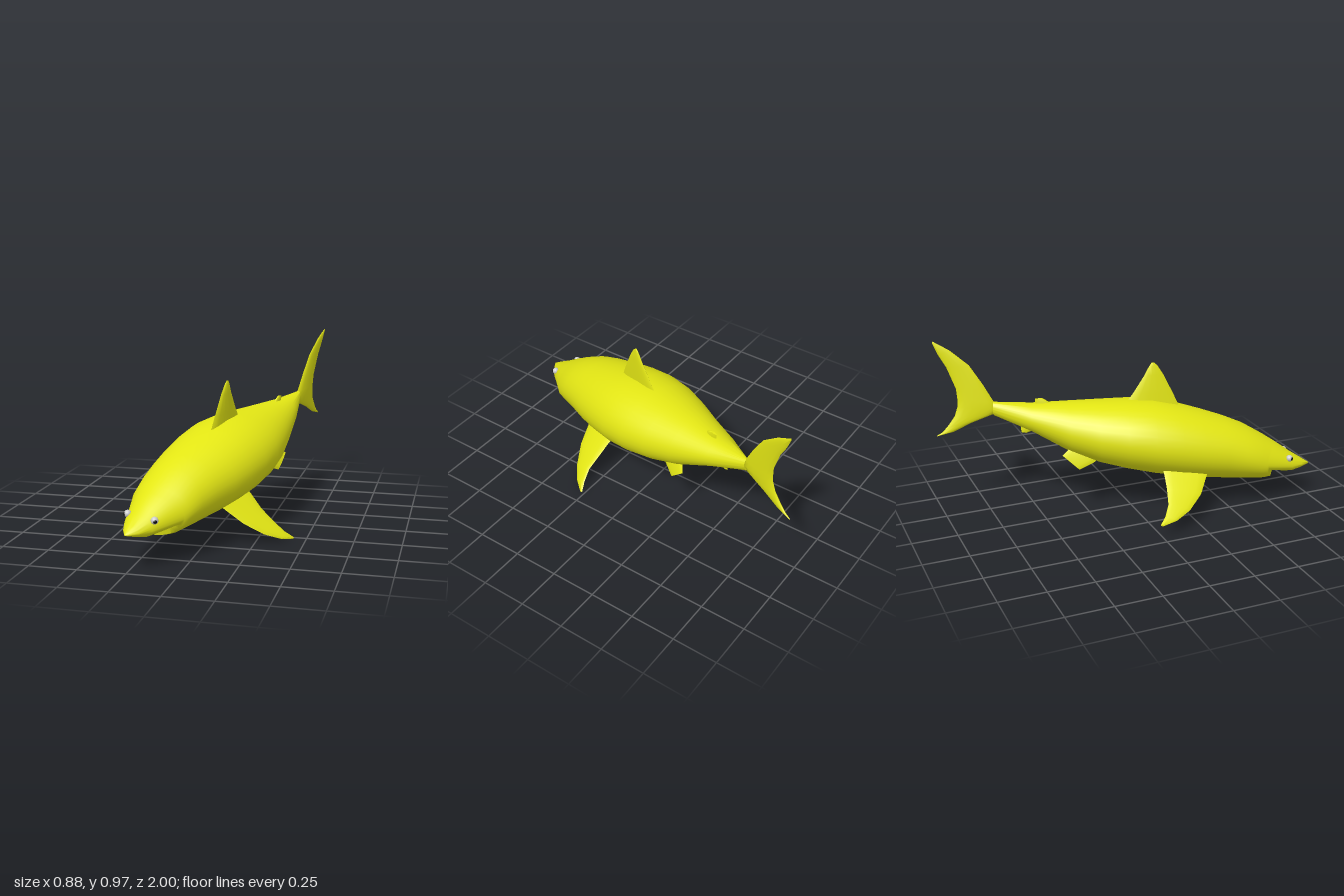
import * as THREE from 'three';
import { toCreasedNormals } from 'three/addons/utils/BufferGeometryUtils.js';

const V = (x, y, s) => new THREE.Vector3(x, y, -s); // s = distance behind the snout tip

// Swimming pose: a slight roll about the body axis, then a yaw with the snout tip placed at the front.
const ROLL = 0.07;
const pose = new THREE.Matrix4().makeTranslation(-0.25, 0, 1)
  .multiply(new THREE.Matrix4().makeRotationY(-0.3037))
  .multiply(new THREE.Matrix4().set(
    1, ROLL, 0.22 * ROLL, -0.19 * ROLL,
    -ROLL, 1, 0, 0,
    0, 0, 1, 0,
    0, 0, 0, 1));

// Closed skin through rings of equal point count, capped at both ends and turned outwards.
function loft(rings, crease) {
  const n = rings[0].length, last = rings.length - 1;
  const pts = rings.flat();
  const idx = [];
  for (let i = 0; i < last; i++) {
    for (let j = 0; j < n; j++) {
      const a = i * n + j, b = i * n + (j + 1) % n;
      idx.push(a, b, a + n, b, b + n, a + n);
    }
  }
  for (const i of [0, last]) {
    const centre = pts.length;
    pts.push(rings[i].reduce((sum, p) => sum.add(p), new THREE.Vector3()).divideScalar(n));
    for (let j = 0; j < n; j++) {
      const a = i * n + j, b = i * n + (j + 1) % n;
      if (i === 0) idx.push(centre, b, a);
      else idx.push(centre, a, b);
    }
  }
  let volume = 0;
  const cross = new THREE.Vector3();
  for (let k = 0; k < idx.length; k += 3) {
    volume += pts[idx[k]].dot(cross.crossVectors(pts[idx[k + 1]], pts[idx[k + 2]]));
  }
  if (volume < 0) idx.reverse();
  const geo = new THREE.BufferGeometry().setFromPoints(pts);
  geo.setIndex(idx);
  return toCreasedNormals(geo, crease);
}

// Fin from stations [leading point, trailing point, half thickness] with a thin oval section.
function fin(stations, normal) {
  const n = 14;
  const dir = normal.clone().normalize();
  return loft(stations.map(([lead, trail, t]) => Array.from({ length: n }, (_, j) => {
    const a = (j / n) * Math.PI * 2;
    return lead.clone().lerp(trail, (1 - Math.cos(a)) / 2).addScaledVector(dir, t * Math.sin(a));
  })), 1.2);
}

// Upright fin on the centre plane, stations as [lead s, lead y, trail s, trail y, half thickness].
const uprightFin = (rows) => fin(
  rows.map(([s0, y0, s1, y1, t]) => [V(0, y0, s0), V(0, y1, s1), t]), new THREE.Vector3(1, 0, 0));

// Body sections: s, widest height, top, bottom, half width, backward sweep of the sides
const BODY = [
  [0, 0.19, 0.193, 0.187, 0.004, 0],
  [0.05, 0.19, 0.225, 0.172, 0.047, 0],
  [0.11, 0.2, 0.262, 0.156, 0.084, 0],
  [0.16, 0.215, 0.297, 0.163, 0.115, 0.02],
  [0.215, 0.235, 0.335, 0.178, 0.156, 0.05],
  [0.225, 0.236, 0.341, 0.135, 0.16, 0.05],
  [0.27, 0.25, 0.37, 0.127, 0.173, 0.03],
  [0.39, 0.28, 0.44, 0.13, 0.192, 0],
  [0.5, 0.31, 0.485, 0.138, 0.214, 0],
  [0.63, 0.335, 0.528, 0.15, 0.241, 0],
  [0.755, 0.36, 0.565, 0.165, 0.258, 0],
  [0.9, 0.385, 0.597, 0.19, 0.268, 0],
  [1.05, 0.41, 0.605, 0.222, 0.257, 0],
  [1.2, 0.43, 0.605, 0.262, 0.222, 0],
  [1.36, 0.46, 0.605, 0.325, 0.17, 0],
  [1.57, 0.525, 0.603, 0.448, 0.102, 0],
  [1.78, 0.583, 0.62, 0.545, 0.018, 0],
];

function bodyGeometry() {
  const n = 36;
  return loft(BODY.map(([s, mid, top, bottom, w, sweep]) => Array.from({ length: n }, (_, j) => {
    const a = (j / n) * Math.PI * 2;
    const c = Math.cos(a), d = Math.sin(a);
    return V(w * d, mid + c * (c > 0 ? top - mid : mid - bottom), s + sweep * d * d);
  })), 0.9);
}

export function createModel() {
  const group = new THREE.Group();
  const skin = new THREE.MeshStandardMaterial({ color: 0xe3e614 });
  const eyeWhite = new THREE.MeshStandardMaterial({ color: 0xcccccc });
  const black = new THREE.MeshStandardMaterial({ color: 0x080808 });
  const add = (name, geo, mat = skin) => {
    const mesh = new THREE.Mesh(geo.applyMatrix4(pose), mat);
    mesh.name = name;
    group.add(mesh);
  };

  add('body', bodyGeometry());

  add('dorsalFin', uprightFin([
    [0.74, 0.53, 1.06, 0.57, 0.014],
    [0.785, 0.63, 1.005, 0.645, 0.012],
    [0.84, 0.74, 0.945, 0.74, 0.009],
    [0.875, 0.795, 0.922, 0.785, 0.006],
    [0.893, 0.81, 0.906, 0.808, 0.003],
  ]));

  add('secondDorsalFin', uprightFin([
    [1.46, 0.58, 1.55, 0.58, 0.011],
    [1.48, 0.612, 1.55, 0.612, 0.009],
    [1.51, 0.63, 1.55, 0.628, 0.005],
  ]));

  add('analFin', uprightFin([
    [1.55, 0.47, 1.63, 0.5, 0.009],
    [1.575, 0.445, 1.632, 0.46, 0.007],
    [1.6, 0.435, 1.63, 0.44, 0.004],
  ]));

  // Upper and lower tail lobes in one sweep
  add('tailFin', uprightFin([
    [2.084, 0.965, 2.088, 0.957, 0.003],
    [2.0, 0.915, 2.06, 0.89, 0.006],
    [1.9, 0.83, 2.02, 0.82, 0.009],
    [1.83, 0.72, 1.975, 0.7, 0.013],
    [1.775, 0.62, 1.97, 0.64, 0.017],
    [1.76, 0.58, 1.972, 0.6, 0.018],
    [1.78, 0.55, 1.99, 0.545, 0.016],
    [1.9, 0.505, 2.03, 0.49, 0.011],
    [2.0, 0.457, 2.06, 0.457, 0.007],
    [2.088, 0.435, 2.093, 0.437, 0.003],
  ]));

  // Paired parts, mirrored left and right
  for (const [side, m] of [['left', 1], ['right', -1]]) {
    add(side + 'PectoralFin', fin([
      [V(m * 0.13, 0.25, 0.59), V(m * 0.15, 0.28, 0.87), 0.012],
      [V(m * 0.19, 0.2, 0.623), V(m * 0.21, 0.235, 0.86), 0.011],
      [V(m * 0.28, 0.135, 0.665), V(m * 0.28, 0.172, 0.853), 0.01],
      [V(m * 0.365, 0.078, 0.737), V(m * 0.36, 0.115, 0.855), 0.008],
      [V(m * 0.425, 0.046, 0.815), V(m * 0.415, 0.068, 0.878), 0.006],
      [V(m * 0.459, 0.032, 0.893), V(m * 0.456, 0.036, 0.908), 0.003],
    ], new THREE.Vector3(m * 0.6, 1, 0)));

    add(side + 'PelvicFin', fin([
      [V(m * 0.08, 0.32, 1.18), V(m * 0.07, 0.39, 1.35), 0.008],
      [V(m * 0.105, 0.28, 1.24), V(m * 0.1, 0.355, 1.38), 0.007],
      [V(m * 0.132, 0.253, 1.32), V(m * 0.125, 0.335, 1.41), 0.005],
    ], new THREE.Vector3(m, 0.5, 0)));

    const ball = (r, x, y, s) => new THREE.SphereGeometry(r, 20, 14).translate(m * x, y, -s);
    add(side + 'Eye', ball(0.019, 0.079, 0.248, 0.13), eyeWhite);
    add(side + 'Pupil', ball(0.011, 0.0865, 0.247, 0.1222), black);
  }
  return group;
}
